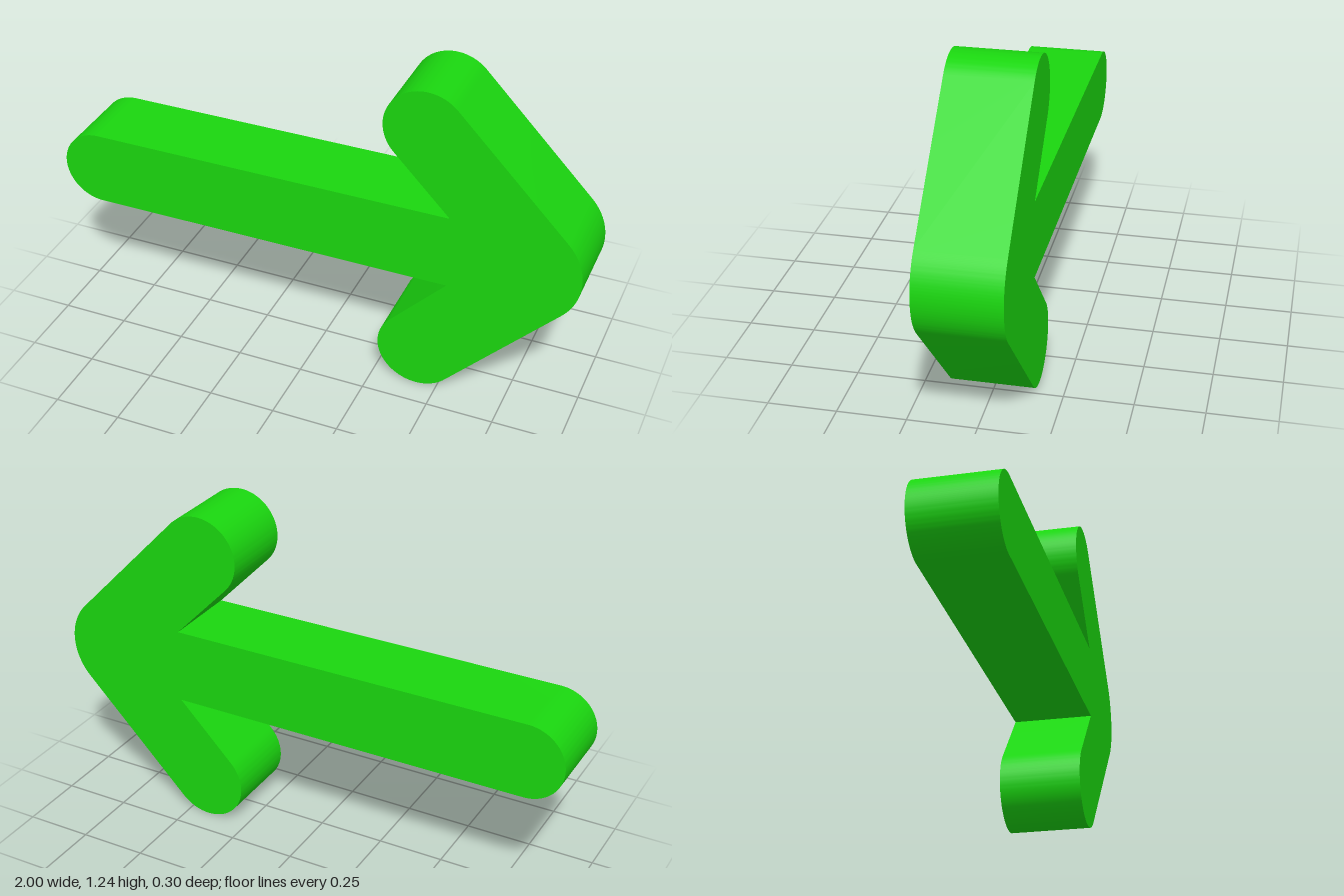
import * as THREE from 'three';
import { toCreasedNormals } from 'three/addons/utils/BufferGeometryUtils.js';

export function createModel() {
  const group = new THREE.Group();
  group.name = 'arrow';

  const depth = 0.3;
  const shaftR = 0.143;                 // half width of the shaft
  const barbR = 0.153;                  // half width of the barbs
  const barbX = 0.421, barbY = 0.467;   // centre of a barb's round end
  const half = barbY + barbR;           // half of the total height
  const a = THREE.MathUtils.degToRad(46); // slope of the barbs
  const s = Math.sin(a), c = Math.cos(a);
  const q = Math.PI / 2;

  // Tip rounding that touches both outer barb edges and ends at x = 1
  const edge = barbX * s + barbY * c;
  const tipR = (edge + barbR - s) / (1 - s);
  // Inner corner where a barb meets the shaft
  const notchX = (edge - barbR - shaftR * c) / s;

  // Outline, counter-clockwise around the shaft's axis
  const outline = new THREE.Shape();
  outline.absarc(-1 + shaftR, 0, shaftR, q, 3 * q, false);            // tail
  outline.lineTo(notchX, -shaftR);
  outline.absarc(barbX, -barbY, barbR, a + q, a + 3 * q, false);      // lower barb
  outline.absarc(1 - tipR, 0, tipR, a - q, q - a, false);             // tip
  outline.absarc(barbX, barbY, barbR, q - a, 3 * q - a, false);       // upper barb
  outline.lineTo(notchX, shaftR);
  outline.closePath();

  const solid = new THREE.ExtrudeGeometry(outline, { depth, bevelEnabled: false, curveSegments: 32 });
  solid.translate(0, half, -depth / 2);

  const arrow = new THREE.Mesh(
    toCreasedNormals(solid, Math.PI / 6),
    new THREE.MeshStandardMaterial({ color: 0x1ad60f })
  );
  arrow.name = 'arrowBody';
  group.add(arrow);
  return group;
}
